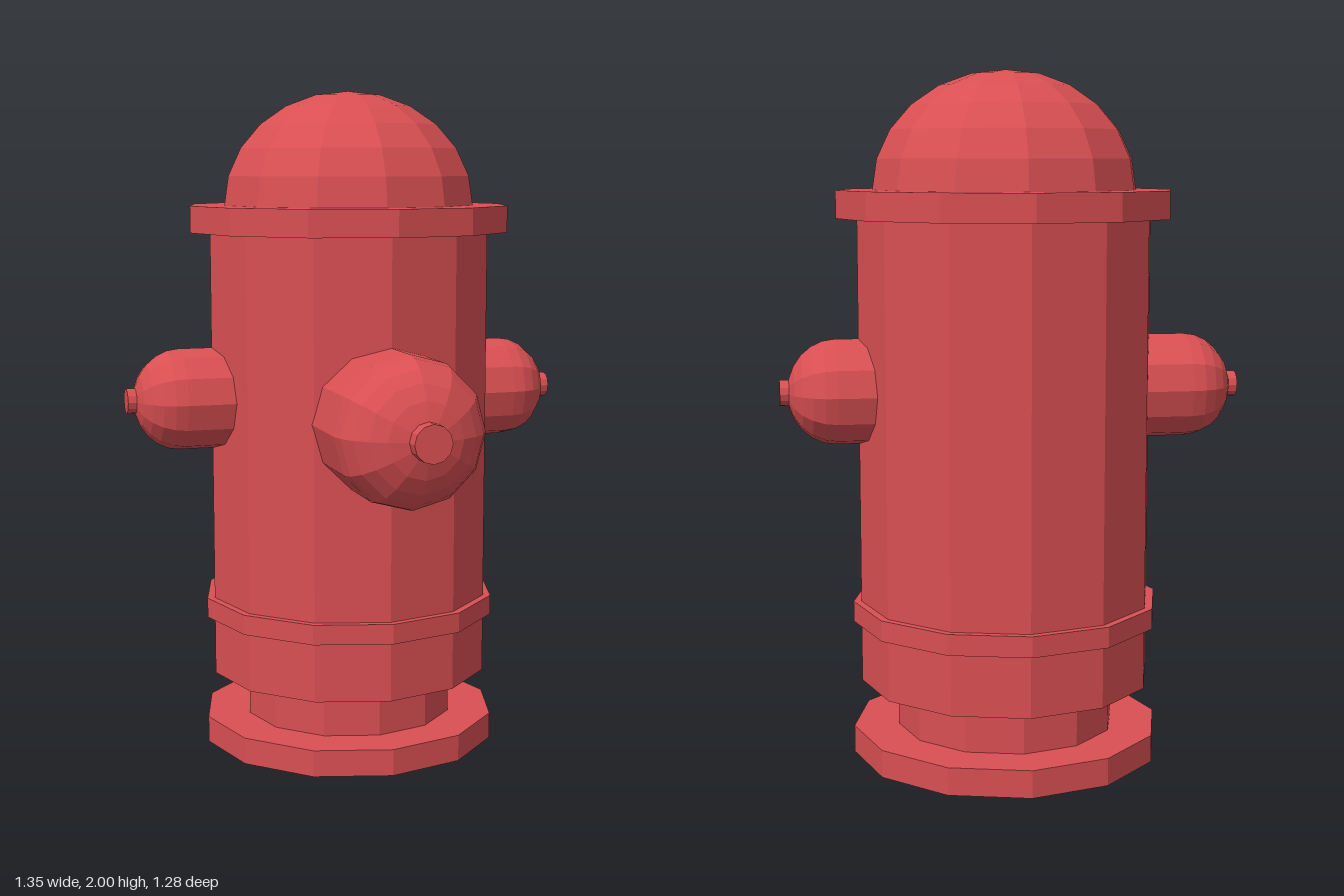
import * as THREE from 'three';

const SIDES = 12;
const CX = 0.017, CZ = -0.15; // vertical axis of the barrel

const red = new THREE.MeshStandardMaterial({ color: 0xd94f52, flatShading: true, side: THREE.DoubleSide });

// Faceted turned part from [radius, height] pairs, listed bottom to top
function turned(name, profile) {
  const points = profile.map(([r, y]) => new THREE.Vector2(r, y));
  const mesh = new THREE.Mesh(new THREE.LatheGeometry(points, SIDES), red);
  mesh.name = name;
  return mesh;
}

// Quarter-ellipse profile for a rounded cap
function domeProfile(radius, base, depth, rings = 6) {
  return Array.from({ length: rings + 1 }, (_, i) => {
    const a = (i / rings) * Math.PI / 2;
    return [i === rings ? 0 : radius * Math.cos(a), base + depth * Math.sin(a)];
  });
}

// Outlet built along +y: pipe, rounded cap and a small end nut
function outlet(name, { radius, start, capStart, capEnd, nutRadius, nutEnd }) {
  const group = new THREE.Group();
  group.name = name;
  group.add(
    turned('outletPipe', [[radius, start], [radius, capStart]]),
    turned('outletCap', domeProfile(radius, capStart, capEnd - capStart)),
    turned('outletNut', [[nutRadius, capEnd - 0.02], [nutRadius, nutEnd], [0, nutEnd]])
  );
  return group;
}

export function createModel() {
  const model = new THREE.Group();
  model.name = 'fireHydrant';

  // Hollow barrel, open underneath: foot, neck, body with band, top flange
  const barrel = turned('barrel', [
    [0.455, 0], [0.455, 0.08],
    [0.322, 0.08], [0.322, 0.22],
    [0.43, 0.22], [0.43, 0.4],
    [0.453, 0.4], [0.453, 0.46],
    [0.43, 0.46], [0.43, 1.58],
    [0.49, 1.58], [0.49, 1.66], [0.385, 1.66]
  ]);
  const bonnet = turned('bonnet', domeProfile(0.385, 1.66, 0.34));
  for (const part of [barrel, bonnet]) {
    part.position.set(CX, 0, CZ);
    model.add(part);
  }

  // Large front outlet
  const front = outlet('frontOutlet', {
    radius: 0.22, start: 0.2, capStart: 0.43, capEnd: 0.6, nutRadius: 0.055, nutEnd: 0.637
  });
  front.rotation.x = Math.PI / 2;
  front.position.set(CX, 1.045, 0);
  model.add(front);

  // Pair of smaller side outlets
  for (const side of [1, -1]) {
    const small = outlet(side > 0 ? 'leftOutlet' : 'rightOutlet', {
      radius: 0.153, start: 0.35, capStart: 0.515, capEnd: 0.653, nutRadius: 0.038, nutEnd: 0.675
    });
    small.rotation.z = -side * Math.PI / 2;
    small.position.set(0, 1.083, CZ);
    model.add(small);
  }

  return model;
}
